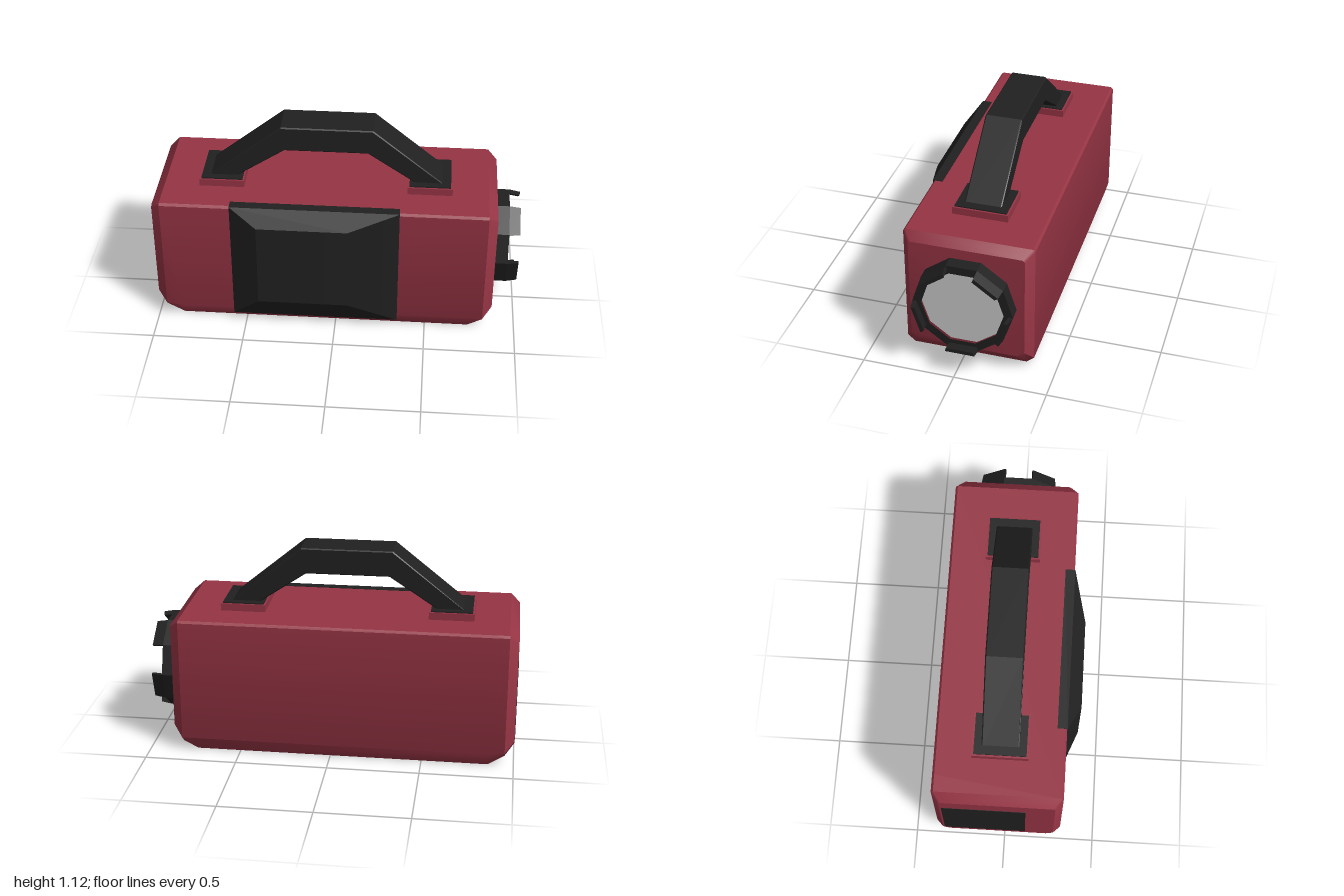
import * as THREE from 'three';
import { toCreasedNormals } from 'three/addons/utils/BufferGeometryUtils.js';
import { ConvexGeometry } from 'three/addons/geometries/ConvexGeometry.js';

const red = new THREE.MeshStandardMaterial({ color: 0x963444 });
const black = new THREE.MeshStandardMaterial({ color: 0x202020 });
const grey = new THREE.MeshStandardMaterial({ color: 0xcccccc });

const MID_Z = -0.035; // centre line of handle and lamp

export function createModel() {
  const model = new THREE.Group();
  const add = (name, geometry, material, x = 0, y = 0, z = 0) => {
    const mesh = new THREE.Mesh(geometry, material);
    mesh.name = name;
    mesh.position.set(x, y, z);
    model.add(mesh);
    return mesh;
  };
  const hull = (points, crease) => toCreasedNormals(new ConvexGeometry(points), crease);

  // Body: chamfered sections along x, given as [x, bottom, top, side inset]
  const sections = [
    [-1, 0.12, 0.725, 0.04], [-0.95, 0.06, 0.765, 0], [-0.86, 0.003, 0.765, 0],
    [0.74, 0.003, 0.765, 0], [0.82, 0.045, 0.765, 0], [0.87, 0.11, 0.725, 0.04],
  ];
  const bodyPoints = [];
  for (const [x, y0, y1, inset] of sections) {
    for (const side of [-1, 1]) {
      const z = (side > 0 ? 0.312 : 0.385) - inset;
      bodyPoints.push(
        new THREE.Vector3(x, y0, side * (z - 0.04)),
        new THREE.Vector3(x, Math.max(y0 + 0.03, 0.08), side * z),
        new THREE.Vector3(x, y1 - 0.012, side * z),
        new THREE.Vector3(x, y1, side * (z - 0.012)),
      );
    }
  }
  add('body', hull(bodyPoints, 0.6), red);

  // Raised front panel: a shallow frustum
  const panelPoints = [];
  for (const [x0, x1, y0, y1, z] of [
    [-0.57, 0.345, 0.047, 0.766, 0.26],
    [-0.57, 0.345, 0.047, 0.766, 0.314],
    [-0.42, 0.07, 0.19, 0.68, 0.385],
  ]) {
    for (const x of [x0, x1]) for (const y of [y0, y1]) panelPoints.push(new THREE.Vector3(x, y, z));
  }
  add('frontPanel', hull(panelPoints, 0.3), black);

  // Dark panel on the closed end
  add('endPanel', new THREE.BoxGeometry(0.02, 0.46, 0.45), black, -0.992, 0.385, -0.11);

  // Handle mounts: a red block with a dark plate on top
  for (const x of [-0.635, 0.5]) {
    add('handleMount', new THREE.BoxGeometry(0.245, 0.06, 0.3), red, x, 0.775, MID_Z);
    add('handlePlate', new THREE.BoxGeometry(0.225, 0.02, 0.28), black, x, 0.801, MID_Z);
  }

  // Handle: angular arch with a small bevel
  const arch = new THREE.Shape([
    [-0.71, 0.8], [-0.57, 0.8], [-0.295, 0.982], [0.16, 0.982],
    [0.43, 0.8], [0.575, 0.8], [0.185, 1.118], [-0.31, 1.118],
  ].map(([x, y]) => new THREE.Vector2(x, y)));
  const bevel = 0.006;
  const handle = new THREE.ExtrudeGeometry(arch, {
    depth: 0.2 - 2 * bevel, bevelEnabled: true, bevelSize: bevel,
    bevelThickness: bevel, bevelOffset: -bevel / 2, bevelSegments: 1,
  });
  handle.translate(0, 0, -0.1 + bevel);
  add('handle', handle, black, 0, 0, MID_Z);

  // Lamp: ten-sided parts, turned so that their depth runs along +x
  const step = Math.PI / 5;
  const point = (i, r) => new THREE.Vector2(-r * Math.cos(i * step), r * Math.sin(i * step));
  const decagon = (r) => Array.from({ length: 10 }, (_, i) => point(i, r));
  const prism = (shape, depth, taper = 1) => {
    const geometry = new THREE.ExtrudeGeometry(shape, { depth, bevelEnabled: false });
    const p = geometry.attributes.position;
    for (let i = 0; i < p.count; i++) {
      if (p.getZ(i) > depth / 2) p.setXY(i, p.getX(i) * taper, p.getY(i) * taper);
    }
    geometry.rotateY(Math.PI / 2);
    geometry.computeVertexNormals();
    return geometry;
  };
  const lampY = 0.413;
  const rim = new THREE.Shape(decagon(0.268));
  rim.holes.push(new THREE.Path(decagon(0.22)));
  add('lampRim', prism(rim, 0.08), black, 0.86, lampY, MID_Z);
  add('lens', prism(new THREE.Shape(decagon(0.225)), 0.06), grey, 0.86, lampY, MID_Z);

  // Teeth on every other side of the rim
  for (let i = -1; i < 9; i += 2) {
    const tooth = new THREE.Shape([point(i, 0.268), point(i + 1, 0.268), point(i + 1, 0.245), point(i, 0.245)]);
    add('rimTooth', prism(tooth, 0.06, 0.96), black, 0.94, lampY, MID_Z);
  }

  return model;
}
